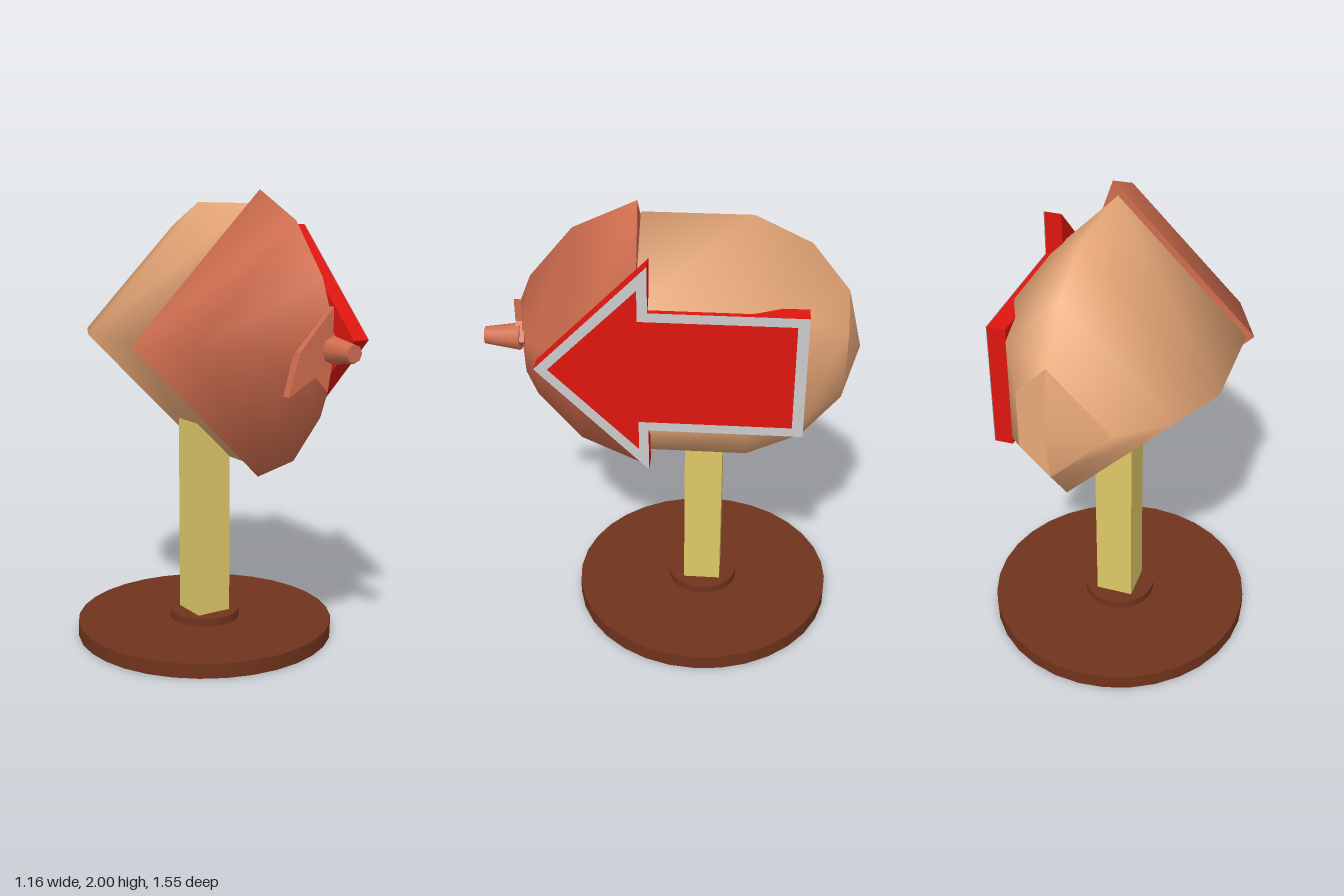
import * as THREE from 'three';
import { mergeGeometries } from 'three/addons/utils/BufferGeometryUtils.js';

const CY = 1.38; // height of the body's axis
const material = (color, side = THREE.FrontSide) => new THREE.MeshStandardMaterial({ color, side });

function indexed(points, index) {
  const g = new THREE.BufferGeometry();
  g.setAttribute('position', new THREE.Float32BufferAttribute(points.flat(), 3));
  g.setIndex(index);
  g.computeVertexNormals();
  return g;
}

// flat end of a ring; rings run clockwise seen from the front
function cap(ring, facesFront) {
  const index = [];
  for (let i = 1; i < ring.length - 1; i++) index.push(...(facesFront ? [0, i + 1, i] : [0, i, i + 1]));
  return indexed(ring, index);
}

// smooth skin over rings given from front to back
function loft(rings) {
  const n = rings[0].length, index = [];
  for (let j = 0; j < rings.length - 1; j++) {
    for (let i = 0; i < n; i++) {
      const k = (i + 1) % n, a = j * n + i, b = j * n + k;
      index.push(a, b, a + n, b, b + n, a + n);
    }
  }
  return indexed(rings.flat(), index);
}

function polygon(points, Type = THREE.Shape) {
  return new Type(points.map(([x, y]) => new THREE.Vector2(x, y)));
}

export function createModel() {
  const model = new THREE.Group();
  const add = (name, geometry, mat, x = 0, y = 0, z = 0) => {
    const mesh = new THREE.Mesh(geometry, mat);
    mesh.name = name;
    mesh.position.set(x, y, z);
    model.add(mesh);
    return mesh;
  };

  // stand
  const brown = material(0x70331c);
  add('base', new THREE.CylinderGeometry(0.58, 0.58, 0.065, 32), brown, 0, 0.0325, -0.14);
  add('baseCollar', new THREE.CylinderGeometry(0.157, 0.157, 0.035, 32), brown, 0, 0.0825, -0.14);
  add('post', new THREE.BoxGeometry(0.165, 0.95, 0.165), material(0xdec968), 0, 0.575, -0.14);

  // rear shell: half diamond on one side, cut-off diamond on the other
  const cx = 0.085;
  const rear = [[0.12, 0.56], [-0.325, 0.56], [-0.555, 0.45], [-0.715, 0.25]].map(([z, r]) => [
    [cx, CY + r, z], [cx + r / 2, CY + r / 2, z], [cx + r / 2, CY - r / 2, z],
    [cx, CY - r, z], [cx - r, CY, z],
  ]);
  const [top, upper, lower, bottom, left] = rear[3];
  const tip = [cx, CY, -0.775];
  add('rearShell', mergeGeometries([
    loft(rear),
    cap(rear[0], true),
    cap([top, upper, lower, bottom], false),
    indexed([top, bottom, left, tip], [1, 2, 3, 2, 0, 3, 0, 1, 3]),
  ]), material(0xe8a878, THREE.DoubleSide));

  // front shell: lopsided diamond that narrows to the snout
  const fx = 0.11;
  const front = [[0.615, 0.17, 0.03], [0.57, 0.28, 0.06], [0.39, 0.495, 0.215], [0.13, 0.617, 0.215]]
    .map(([z, r, w]) => [[fx, CY + r, z], [fx + w, CY, z], [fx, CY - r, z], [fx - r, CY, z]]);
  const coral = material(0xcf6d4e, THREE.DoubleSide);
  add('frontShell', mergeGeometries([loft(front), cap(front[0], true), cap(front[3], false)]), coral);

  // snout: thin uneven plate with a tapered nub
  const plate = polygon([[-0.1, 1.21], [-0.05, 1.38], [0.11, 1.55], [0.11, 1.45], [0.165, 1.38], [0.1, 1.32]]);
  add('snoutPlate', new THREE.ExtrudeGeometry(plate, { depth: 0.04, bevelEnabled: false }), coral, 0, 0, 0.605);
  add('snoutNub', new THREE.CylinderGeometry(0.037, 0.06, 0.15, 8).rotateX(Math.PI / 2), coral, 0.112, CY, 0.7);

  // arrow sign, drawn in (-z, y) and turned to face +x
  const outline = (tipZ, headZ, headY, tailZ, halfShaft) => [
    [-tipZ, 1.388], [-headZ, 1.388 + headY], [-headZ, 1.388 + halfShaft], [-tailZ, 1.388 + halfShaft],
    [-tailZ, 1.388 - halfShaft], [-headZ, 1.388 - halfShaft], [-headZ, 1.388 - headY],
  ];
  const outer = outline(0.525, 0.07, 0.46, -0.55, 0.267);
  const inner = outline(0.47, 0.11, 0.36, -0.505, 0.228);
  const body = new THREE.ExtrudeGeometry(polygon(outer), { depth: 0.075, bevelEnabled: false });
  add('arrowBody', body.rotateY(Math.PI / 2), material(0xdf160f), 0.312);
  const border = polygon(outer);
  border.holes.push(polygon(inner, THREE.Path));
  add('arrowBorder', new THREE.ShapeGeometry(border).rotateY(Math.PI / 2),
    material(0xcccccc, THREE.DoubleSide), 0.39);

  return model;
}
